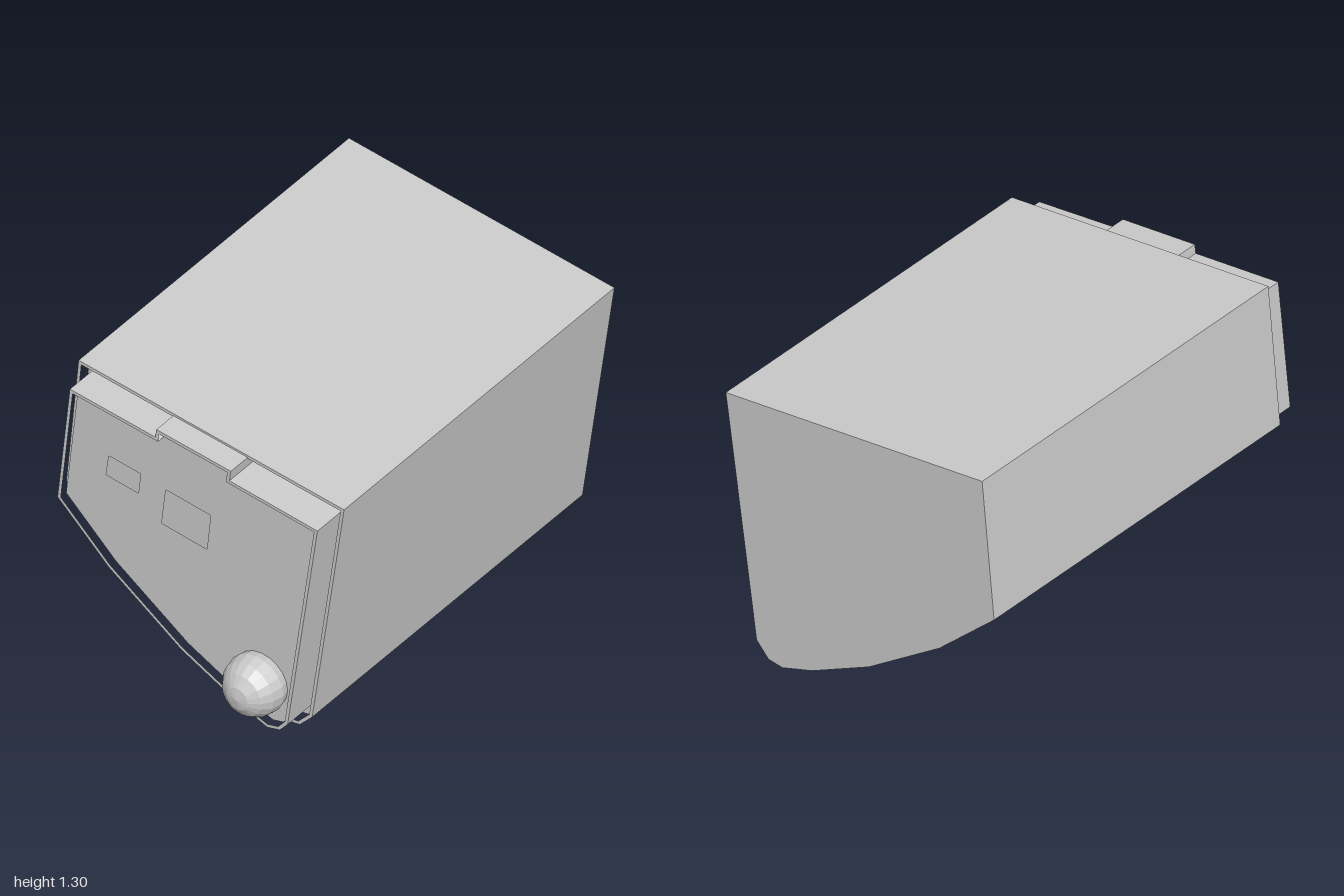
import * as THREE from 'three';

const material = new THREE.MeshStandardMaterial({ color: 0xcccccc, flatShading: true });

// Clockwise outlines seen from the front
const bodyOutline = [
  [-0.615, 1.305], [0.675, 1.17], [0.52, 0.075], [0.46, 0.01], [0.39, 0],
  [0.24, 0.05], [-0.045, 0.19], [-0.4, 0.43], [-0.675, 0.68],
];
const rimOutline = [
  [-0.575, 1.25], [-0.16, 1.207], [-0.155, 1.247], [0.207, 1.21], [0.2, 1.16],
  [0.628, 1.112], [0.483, 0.09], [0.445, 0.045], [0.385, 0.03],
  [0.25, 0.078], [-0.035, 0.218], [-0.387, 0.46], [-0.635, 0.69],
];
const smallWindow = [[-0.412, 0.975], [-0.257, 0.958], [-0.268, 0.858], [-0.425, 0.877]];
const largeWindow = [[-0.135, 0.937], [0.083, 0.912], [0.065, 0.737], [-0.155, 0.763]];

// Mitred inward offset of a clockwise polygon
function inset(points, d) {
  const n = points.length;
  const normal = (a, b) => {
    const dx = b[0] - a[0], dy = b[1] - a[1], l = Math.hypot(dx, dy);
    return [dy / l, -dx / l];
  };
  return points.map((p, i) => {
    const a = normal(points[(i + n - 1) % n], p);
    const b = normal(p, points[(i + 1) % n]);
    const k = d / (1 + a[0] * b[0] + a[1] * b[1]);
    return [p[0] + k * (a[0] + b[0]), p[1] + k * (a[1] + b[1])];
  });
}

const toVectors = (points) => points.map(([x, y]) => new THREE.Vector2(x, y));

// Prism between two depths, with optional openings
function prism(name, outline, back, front, holes = []) {
  const shape = new THREE.Shape(toVectors(outline));
  shape.holes = holes.map((h) => new THREE.Path(toVectors(h)));
  const geometry = new THREE.ExtrudeGeometry(shape, { depth: front - back, bevelEnabled: false });
  geometry.translate(0, 0, back);
  const mesh = new THREE.Mesh(geometry, material);
  mesh.name = name;
  return mesh;
}

export function createModel() {
  const model = new THREE.Group();
  model.name = 'wedgeHousing';

  const floor = 0.68; // bottom of the groove and windows
  const rimInner = inset(rimOutline, 0.015);

  // Solid housing, its thin front lip and the raised rim inside it
  model.add(prism('body', bodyOutline, -1, floor));
  model.add(prism('bodyLip', bodyOutline, floor, 0.755, [inset(bodyOutline, 0.015)]));
  model.add(prism('frontRim', rimOutline, floor, 0.865, [rimInner]));

  // Slightly recessed panel with two windows
  model.add(prism('frontPanel', rimInner, floor, 0.83, [smallWindow, largeWindow]));

  // Round knob in the lower corner, pole facing forward
  const knob = new THREE.Mesh(new THREE.SphereGeometry(0.134, 20, 8).rotateX(Math.PI / 2), material);
  knob.name = 'knob';
  knob.position.set(0.33, 0.222, 0.866);
  model.add(knob);

  return model;
}
